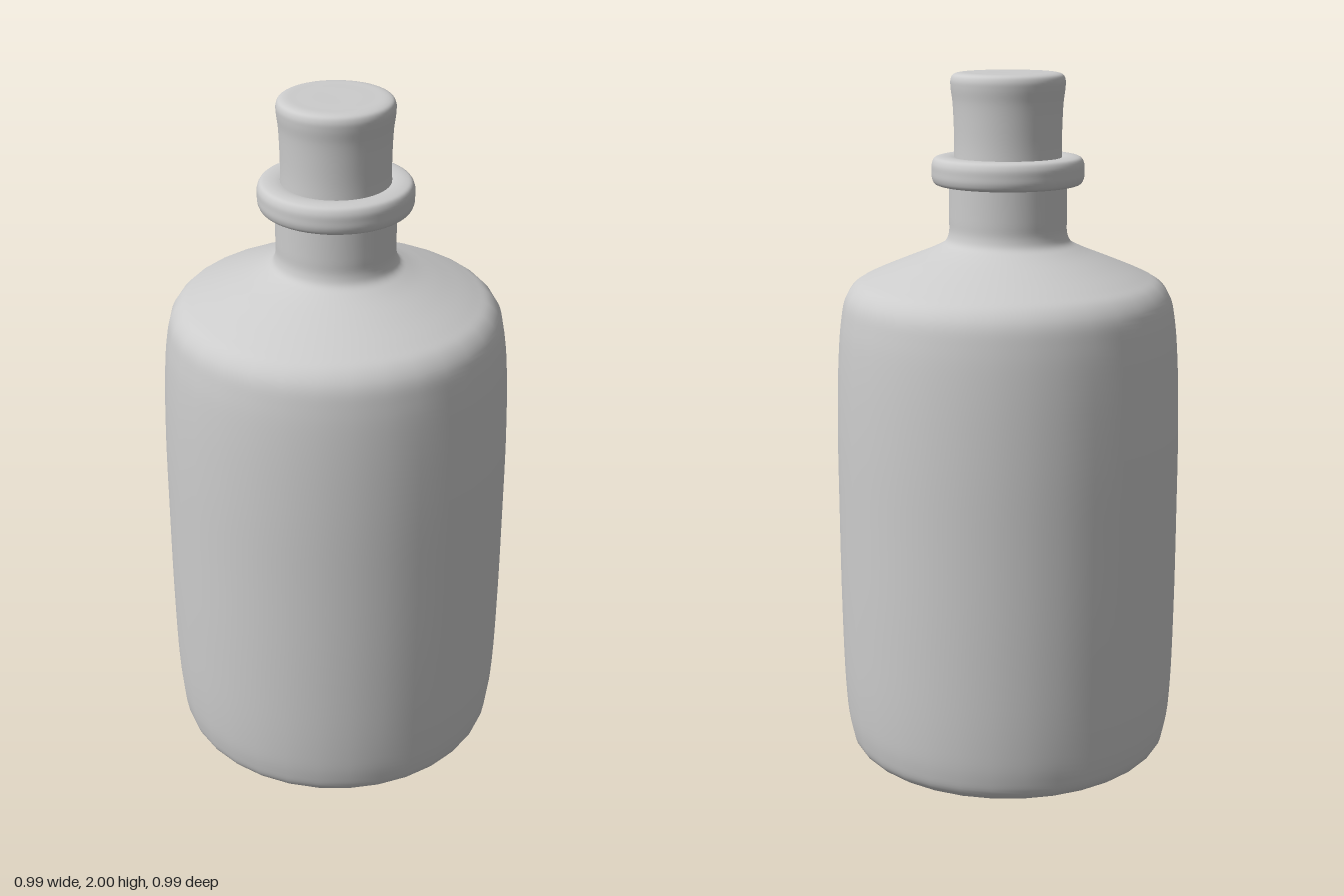
import * as THREE from 'three';

const glass = new THREE.MeshStandardMaterial({ color: 0xcccccc });
glass.name = 'plain grey';

// Turn a smoothed [radius, height] profile, listed from bottom to top
function turned(name, profile, samples, sides) {
  const curve = new THREE.CatmullRomCurve3(
    profile.map(([r, y]) => new THREE.Vector3(r, y, 0)), false, 'centripetal');
  const points = curve.getPoints(samples).map(p => new THREE.Vector2(Math.max(p.x, 0), p.y));
  const mesh = new THREE.Mesh(new THREE.LatheGeometry(points, sides), glass);
  mesh.name = name;
  return mesh;
}

export function createModel() {
  const bottle = new THREE.Group();
  bottle.name = 'bottle';

  // Body with a hollowed base, rounded shoulder and straight neck
  bottle.add(turned('bottleBody', [
    [0, 0.06], [0.2, 0.05], [0.32, 0.02], [0.38, 0.003], [0.43, 0.012], [0.463, 0.038],
    [0.478, 0.09], [0.488, 0.2], [0.494, 0.45], [0.495, 0.75], [0.494, 1.0],
    [0.487, 1.2], [0.477, 1.31], [0.463, 1.375], [0.435, 1.412], [0.39, 1.436],
    [0.3, 1.474], [0.21, 1.511], [0.178, 1.53], [0.168, 1.555], [0.167, 1.6], [0.167, 1.73],
  ], 110, 32));

  // Rounded lip around the top of the neck
  bottle.add(turned('neckLip', [
    [0.16, 1.69], [0.19, 1.69], [0.207, 1.695], [0.214, 1.71], [0.215, 1.73],
    [0.214, 1.75], [0.206, 1.765], [0.19, 1.77], [0.165, 1.77], [0.14, 1.765],
  ], 40, 48));

  // Stopper with a slight waist and softened top edge
  bottle.add(turned('stopper', [
    [0.153, 1.74], [0.151, 1.8], [0.152, 1.86], [0.155, 1.92], [0.16, 1.96],
    [0.16, 1.98], [0.154, 1.993], [0.14, 1.999], [0.1, 2], [0, 2],
  ], 50, 48));

  return bottle;
}
